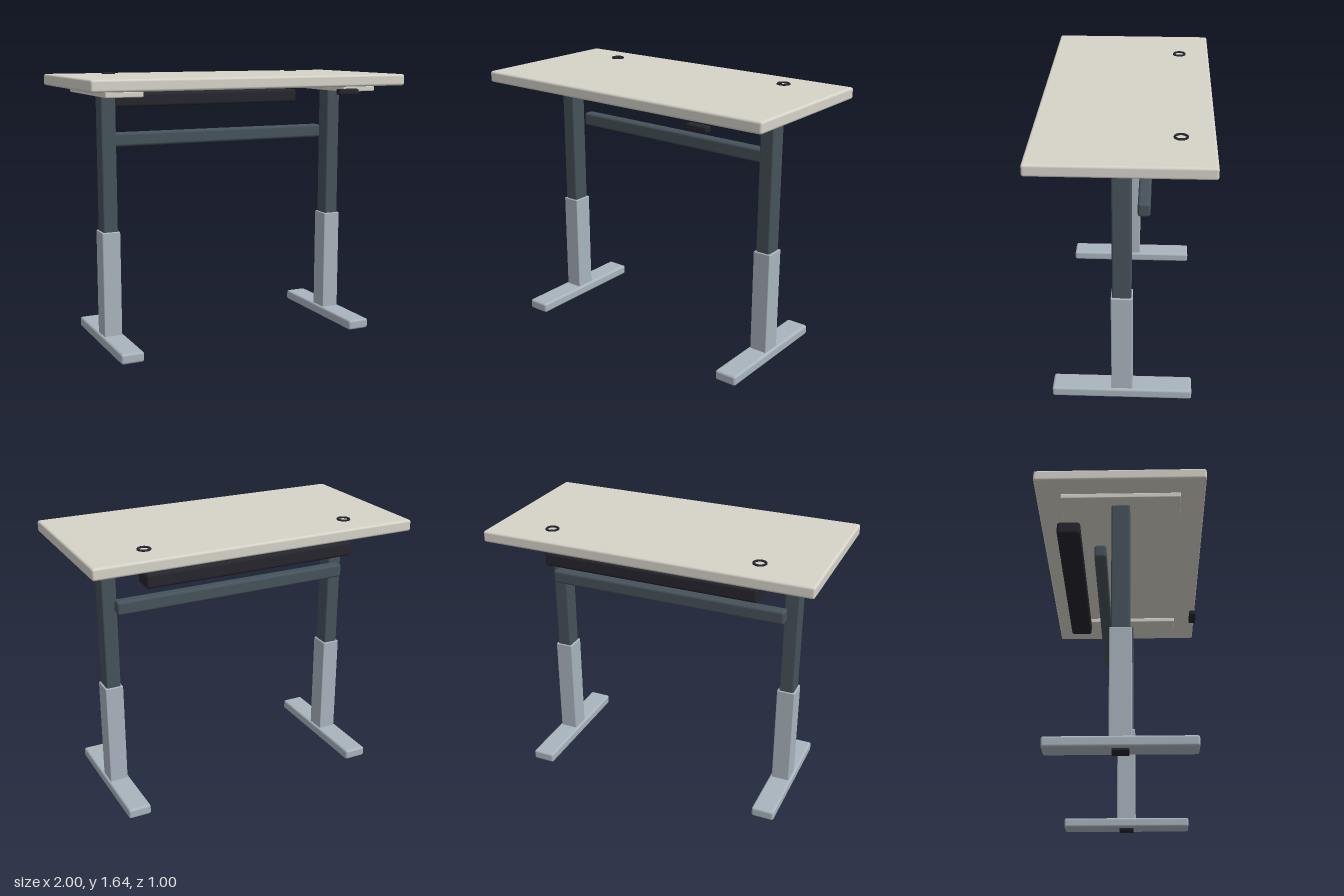
import * as THREE from 'three';
import { RoundedBoxGeometry } from 'three/addons/geometries/RoundedBoxGeometry.js';

const material = (name, color) => {
  const m = new THREE.MeshStandardMaterial({ color });
  m.name = name;
  return m;
};

export function createModel() {
  const group = new THREE.Group();
  group.name = 'standingDesk';

  const laminate = material('warm grey laminate', 0xd6d3c9);
  const silver = material('silver metal', 0xa9b4bd);
  const steel = material('dark steel', 0x46525a);
  const black = material('black plastic', 0x25252d);

  // Softly rounded block given by its lower and upper corner
  const block = (name, mat, [x0, y0, z0], [x1, y1, z1], radius, parent = group) => {
    const geometry = new RoundedBoxGeometry(x1 - x0, y1 - y0, z1 - z0, 3, radius);
    const mesh = new THREE.Mesh(geometry, mat);
    mesh.position.set((x0 + x1) / 2, (y0 + y1) / 2, (z0 + z1) / 2);
    mesh.name = name;
    parent.add(mesh);
    return mesh;
  };

  // Worktop
  block('desktop', laminate, [-1, 1.566, -0.499], [1, 1.635, 0.493], 0.014);

  for (const side of [-1, 1]) {
    // Telescopic leg with foot, glide pad and mounting plate
    const leg = new THREE.Group();
    leg.name = side > 0 ? 'leftLeg' : 'rightLeg';
    leg.position.set(side * 0.763, 0, -0.002);
    group.add(leg);
    block('glidePad', black, [-0.042, 0, -0.047], [0.042, 0.025, 0.047], 0.006, leg);
    block('foot', silver, [-0.07, 0.014, -0.413], [0.07, 0.076, 0.413], 0.014, leg);
    block('outerColumn', silver, [-0.056, 0.05, -0.062], [0.056, 0.715, 0.062], 0.006, leg);
    block('innerColumn', steel, [-0.045, 0.65, -0.054], [0.045, 1.527, 0.054], 0.01, leg);
    block('mountingPlate', laminate, [-0.112, 1.528, -0.35], [0.112, 1.56, 0.35], 0.006, leg);

    // Cable grommet ring on the worktop
    const ring = new THREE.Mesh(new THREE.TorusGeometry(0.034, 0.007, 12, 40), black);
    ring.rotation.x = Math.PI / 2;
    ring.position.set(side * 0.64, 1.638, -0.312);
    ring.name = 'grommetRing';
    group.add(ring);
  }

  // Crossbar behind the columns
  block('crossbar', steel, [-0.75, 1.206, -0.157], [0.75, 1.29, -0.087], 0.016);

  // Cable tray under the rear edge
  block('cableTray', black, [-0.658, 1.43, -0.391], [0.658, 1.517, -0.25], 0.018);

  // Height control under the front edge
  block('heightControl', black, [0.53, 1.519, 0.453], [0.664, 1.553, 0.5], 0.008);

  return group;
}
